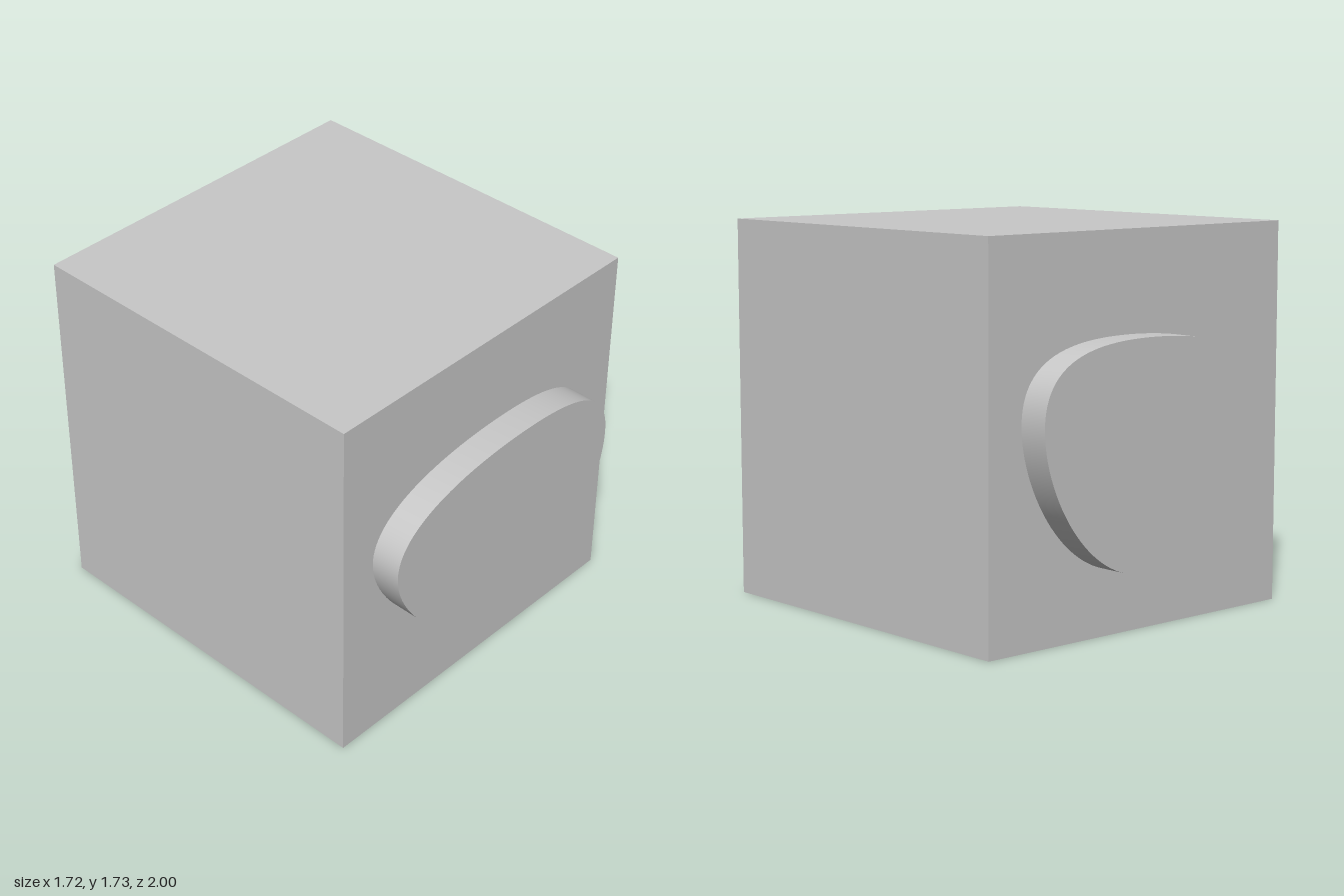
import * as THREE from 'three';
import { toCreasedNormals } from 'three/addons/utils/BufferGeometryUtils.js';

const HALF = 0.86;   // half width of the block
const HEIGHT = 1.725;
const REACH = 1;     // how far the bosses reach along z

// Rounded, lopsided outline: four smooth arcs meeting at the extreme points
function bossOutline() {
  const left = -0.684, right = 0.682, mid = 0.095;
  const top = 1.28, bottom = 0.278, side = 0.945;
  const h = 0.35, v = 0.265;
  const s = new THREE.Shape();
  s.moveTo(right, side);
  s.bezierCurveTo(right, side + v, mid + h, top, mid, top);
  s.bezierCurveTo(mid - h, top, left, side + v, left, side);
  s.bezierCurveTo(left, side - v, mid - h, bottom, mid, bottom);
  s.bezierCurveTo(mid + h, bottom, right, side - v, right, side);
  return s;
}

export function createModel() {
  const model = new THREE.Group();
  model.name = 'blockWithBosses';
  const grey = new THREE.MeshStandardMaterial({ color: 0xc8c8c8 });
  grey.name = 'grey';

  // Main block
  const block = new THREE.Mesh(new THREE.BoxGeometry(2 * HALF, HEIGHT, 2 * HALF), grey);
  block.name = 'block';
  block.position.y = HEIGHT / 2;
  model.add(block);

  // The same outline stands proud of the front and back faces
  const depth = REACH - HALF;
  const geometry = toCreasedNormals(
    new THREE.ExtrudeGeometry(bossOutline(), { depth, bevelEnabled: false, curveSegments: 32 }),
    0.6
  );
  for (const [name, z] of [['frontBoss', HALF], ['backBoss', -REACH]]) {
    const boss = new THREE.Mesh(geometry, grey);
    boss.name = name;
    boss.position.z = z;
    model.add(boss);
  }
  return model;
}
